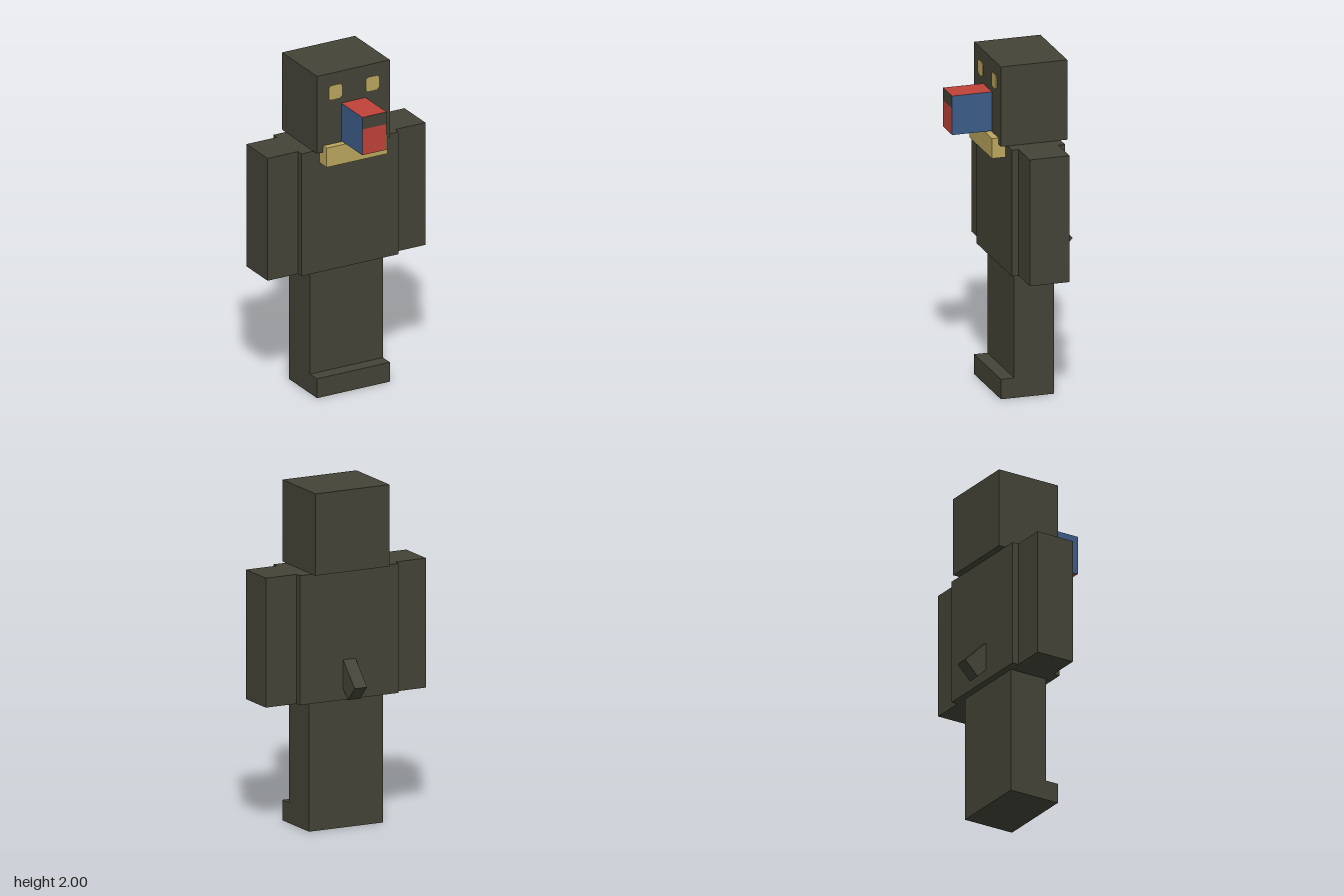
import * as THREE from 'three';

const flat = (name, color) => {
  const m = new THREE.MeshStandardMaterial({ color });
  m.name = name;
  return m;
};

export function createModel() {
  const model = new THREE.Group();
  model.name = 'blockBird';
  const dark = flat('darkOlive', 0x434337);
  const red = flat('red', 0xbe4238);
  const blue = flat('blue', 0x3c5b88);
  const gold = flat('gold', 0xbaa65d);

  // Box given by its [min, max] range on each axis
  const box = (name, material, [x0, x1], [y0, y1], [z0, z1]) => {
    const mesh = new THREE.Mesh(new THREE.BoxGeometry(x1 - x0, y1 - y0, z1 - z0), material);
    mesh.position.set((x0 + x1) / 2, (y0 + y1) / 2, (z0 + z1) / 2);
    mesh.name = name;
    model.add(mesh);
    return mesh;
  };

  // Body
  box('head', dark, [-0.24, 0.24], [1.52, 2], [-0.27, 0.13]);
  box('torso', dark, [-0.32, 0.32], [0.76, 1.52], [-0.23, 0.09]);
  box('legs', dark, [-0.24, 0.24], [0, 0.76], [-0.19, 0.05]);
  box('toes', dark, [-0.24, 0.24], [0, 0.12], [0.05, 0.13]);
  box('leftWing', dark, [0.32, 0.52], [0.76, 1.52], [-0.19, 0.05]);
  box('rightWing', dark, [-0.52, -0.32], [0.76, 1.52], [-0.19, 0.05]);

  // Tail slanting down and back out of the torso
  const tail = box('tail', dark, [-0.04, 0.04], [0, 0.12], [0, 0.24]);
  tail.position.set(0, 0.897, -0.243);
  tail.rotation.x = -Math.PI / 4;

  // Collar under the chin
  box('collar', gold, [-0.2, 0.2], [1.44, 1.56], [0.09, 0.17]);

  // Beak: blue sides, red top and mouth, dark tip (faces: +x -x +y -y +z -z)
  box('beakTop', [blue, blue, red, red, dark, red], [-0.08, 0.08], [1.725, 1.8], [0.13, 0.37]);
  box('beakBottom', [blue, blue, red, red, red, red], [-0.08, 0.08], [1.565, 1.725], [0.13, 0.37]);

  // Eyes: thin squares with clipped corners
  const r = 0.043, c = 0.03;
  const outline = new THREE.Shape(
    [[r, -c], [r, c], [c, r], [-c, r], [-r, c], [-r, -c], [-c, -r], [c, -r]]
      .map(([x, y]) => new THREE.Vector2(x, y)));
  const eyeGeometry = new THREE.ExtrudeGeometry(outline, { depth: 0.004, bevelEnabled: false });
  for (const side of [-1, 1]) {
    const eye = new THREE.Mesh(eyeGeometry, gold);
    eye.position.set(side * 0.122, 1.88, 0.13);
    eye.name = side > 0 ? 'leftEye' : 'rightEye';
    model.add(eye);
  }
  return model;
}
